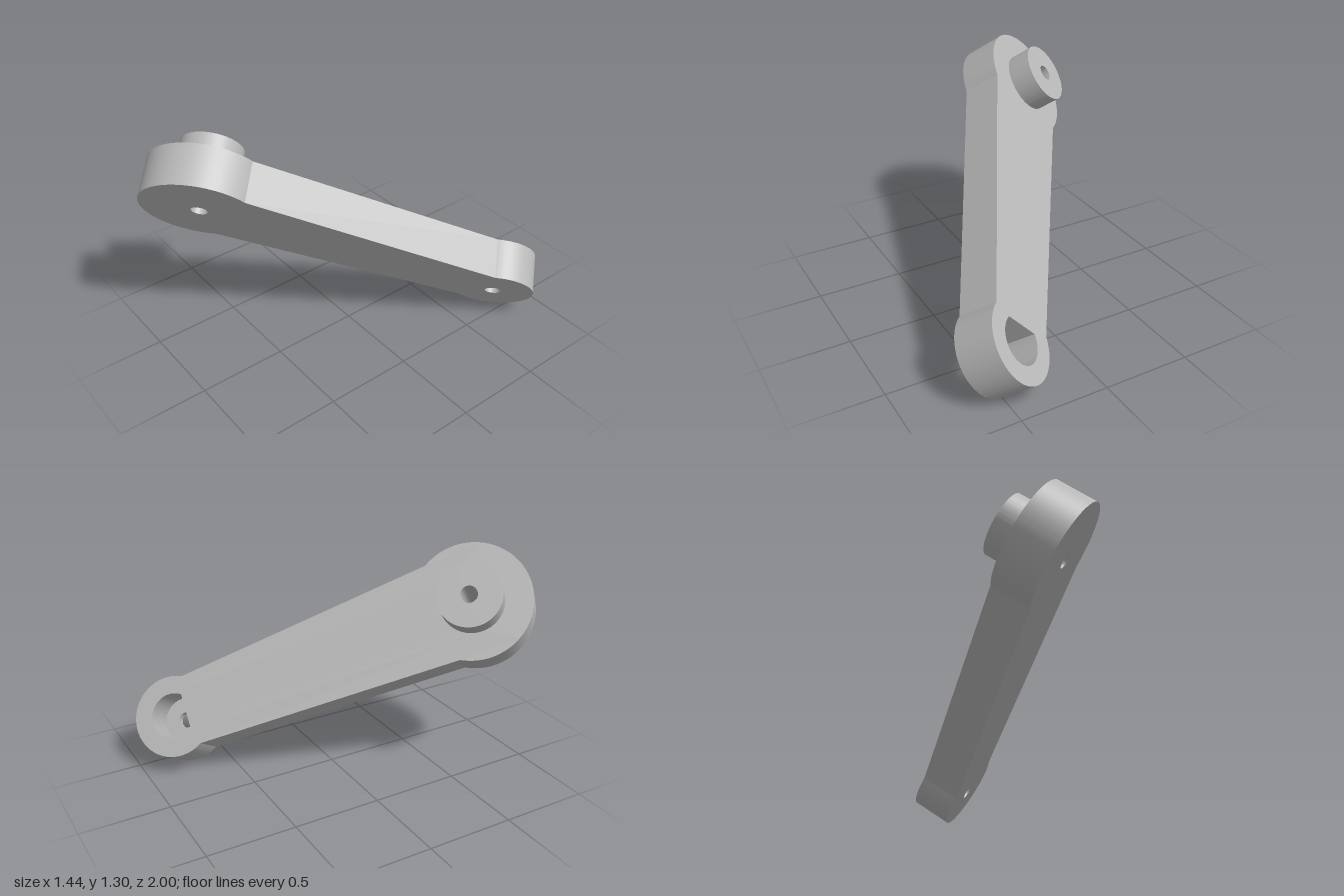
import * as THREE from 'three';
import { mergeGeometries, toCreasedNormals } from 'three/addons/utils/BufferGeometryUtils.js';

const SEG = 64;
const LENGTH = 1.794;  // distance between the two bores
const THICK = 0.233;   // arm thickness
const BOSS = 0.142;    // boss height
const FLOOR = 0.045;   // material left under the recess
const BORE = 0.046;

// Closed arc shape; a partial arc is closed by its chord.
function arcShape(x, r, half = Math.PI) {
  const s = new THREE.Shape();
  s.absarc(x, 0, r, -half, half, false);
  return s;
}

// Flat face at height z with holes, facing +z or -z.
function cap(shape, holes, z, faceDown = false) {
  const s = shape.clone();
  s.holes = holes;
  const g = new THREE.ShapeGeometry(s, SEG);
  if (faceDown) g.setIndex(Array.from(g.index.array).reverse());
  return g.translate(0, 0, z).toNonIndexed();
}

// Side wall along an outline; inward walls line holes.
function wall(shape, z0, z1, inward = false) {
  const pts = shape.getPoints(SEG);
  if (inward) pts.reverse();
  const pos = [];
  pts.forEach((p, i) => {
    const q = pts[(i + 1) % pts.length];
    if (p.distanceTo(q) < 1e-5) return;
    pos.push(p.x, p.y, z0, q.x, q.y, z0, q.x, q.y, z1);
    pos.push(p.x, p.y, z0, q.x, q.y, z1, p.x, p.y, z1);
  });
  const g = new THREE.BufferGeometry();
  g.setAttribute('position', new THREE.Float32BufferAttribute(pos, 3));
  return g;
}

export function createModel() {
  const grey = new THREE.MeshStandardMaterial({ color: 0xb8b8b8 });
  grey.name = 'grey metal';
  const arm = new THREE.Group();
  arm.name = 'leverArm';

  function addPart(name, faces) {
    faces.forEach((g) => {
      g.deleteAttribute('uv');
      g.deleteAttribute('normal');
    });
    const mesh = new THREE.Mesh(toCreasedNormals(mergeGeometries(faces), 0.4), grey);
    mesh.name = name;
    arm.add(mesh);
  }

  // Outline: large round end, straight tapered sides, small round end
  const a = Math.atan2(0.28, 0.167);
  const b = Math.atan2(0.203, -0.111);
  const outline = new THREE.Shape();
  outline.absarc(0, 0, 0.325, a, 2 * Math.PI - a, false);
  outline.absarc(LENGTH, 0, 0.232, -b, b, false);

  const bigBore = arcShape(0, BORE);
  const smallBore = arcShape(LENGTH, BORE);
  const bossRim = arcShape(0, 0.176);
  const recessRim = arcShape(LENGTH, 0.131, Math.acos(-0.08 / 0.131));

  addPart('armPlate', [
    cap(outline, [bigBore, smallBore], 0, true),
    cap(outline, [bossRim, recessRim], THICK),
    wall(outline, 0, THICK),
  ]);

  // Round boss with the bore running through it
  addPart('boss', [
    cap(bossRim, [bigBore], THICK + BOSS),
    wall(bossRim, THICK, THICK + BOSS),
    wall(bigBore, 0, THICK + BOSS, true),
  ]);

  // D-shaped recess with a bore through its floor
  addPart('recess', [
    cap(recessRim, [smallBore], FLOOR),
    wall(recessRim, FLOOR, THICK, true),
    wall(smallBore, 0, FLOOR, true),
  ]);

  // Tilt the arm into its resting pose
  const along = new THREE.Vector3(0.471, -0.396, -0.789).normalize();
  const back = new THREE.Vector3(-0.563, 0.553, -0.614);
  const side = back.clone().cross(along).normalize();
  back.crossVectors(along, side);
  arm.quaternion.setFromRotationMatrix(new THREE.Matrix4().makeBasis(along, side, back));
  arm.position.set(-0.32, 0.905, 0.745);

  const model = new THREE.Group();
  model.name = 'model';
  model.add(arm);
  return model;
}
